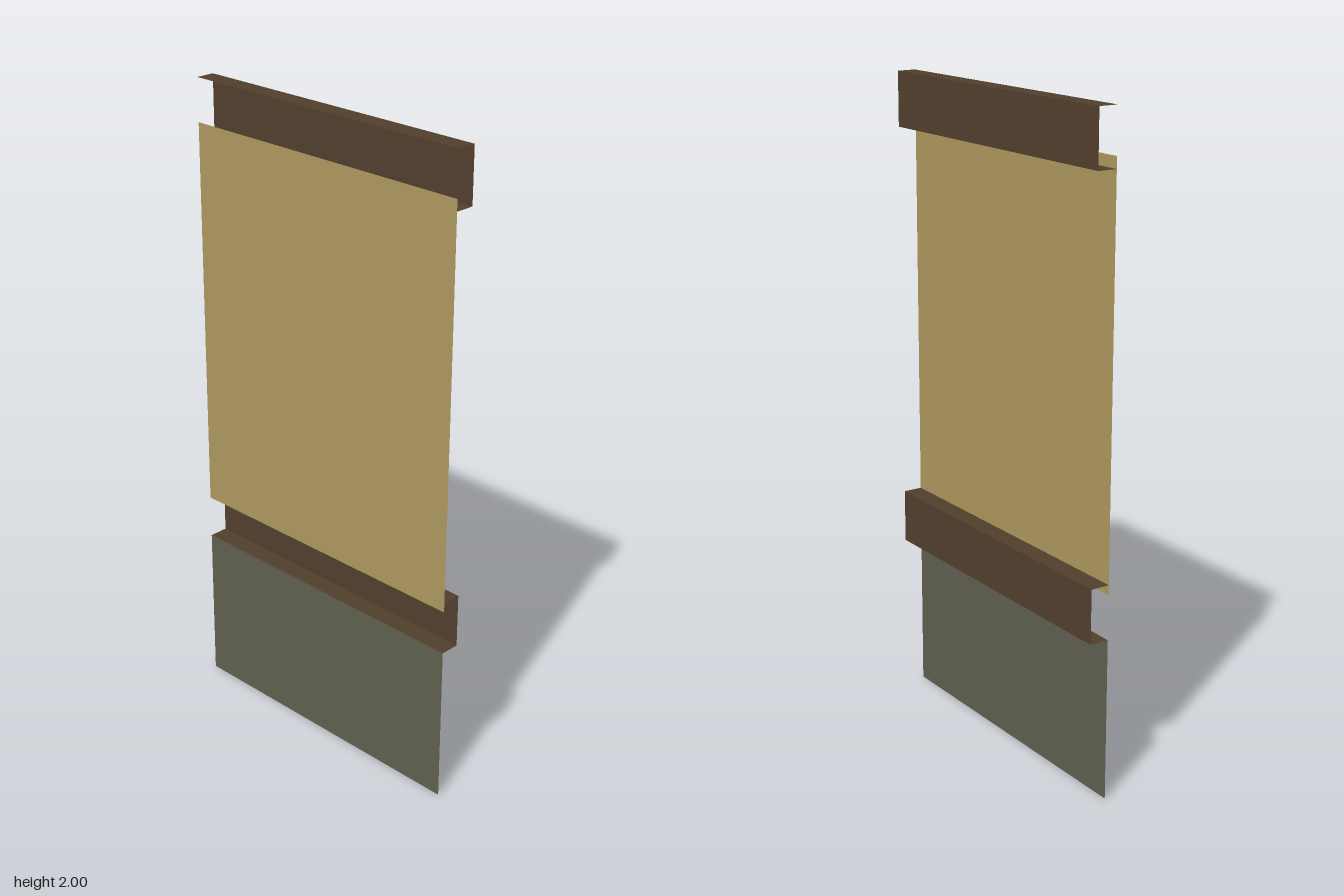
import * as THREE from 'three';

const DEPTH = 0.03; // half the thickness in x
const paint = (name, color) => {
  const m = new THREE.MeshStandardMaterial({ color, side: THREE.DoubleSide });
  m.name = name;
  return m;
};

export function createModel() {
  const wall = new THREE.Group();
  wall.name = 'wallSection';
  const plaster = paint('plaster', 0xad985f);
  const timber = paint('darkTimber', 0x523f2d);
  const stone = paint('stone', 0x5f6050);

  // A sheet one unit wide along z, facing +x unless turned flat
  const sheet = (name, material, height, x, y, flat = false) => {
    const geometry = new THREE.PlaneGeometry(1, height).rotateY(Math.PI / 2);
    if (flat) geometry.rotateZ(Math.PI / 2);
    const mesh = new THREE.Mesh(geometry, material);
    mesh.name = name;
    mesh.position.set(x, y, 0);
    return mesh;
  };
  // Upright panel between two heights, on the rear plane
  const panel = (name, material, y0, y1) =>
    wall.add(sheet(name, material, y1 - y0, -DEPTH, (y0 + y1) / 2));

  panel('stoneBase', stone, 0, 0.5);
  panel('plasterPanel', plaster, 0.637, 1.867);

  // Channel beams, open at the rear and at both ends
  for (const [name, y0, y1] of [['lowerBeam', 0.5, 0.667], ['upperBeam', 1.833, 2]]) {
    const beam = new THREE.Group();
    beam.name = name;
    beam.add(
      sheet(name + 'Face', timber, y1 - y0, DEPTH, (y0 + y1) / 2),
      sheet(name + 'Top', timber, 2 * DEPTH, 0, y1, true),
      sheet(name + 'Underside', timber, 2 * DEPTH, 0, y0, true)
    );
    // Underside faces down
    beam.children[2].rotation.z = Math.PI;
    wall.add(beam);
  }
  return wall;
}
